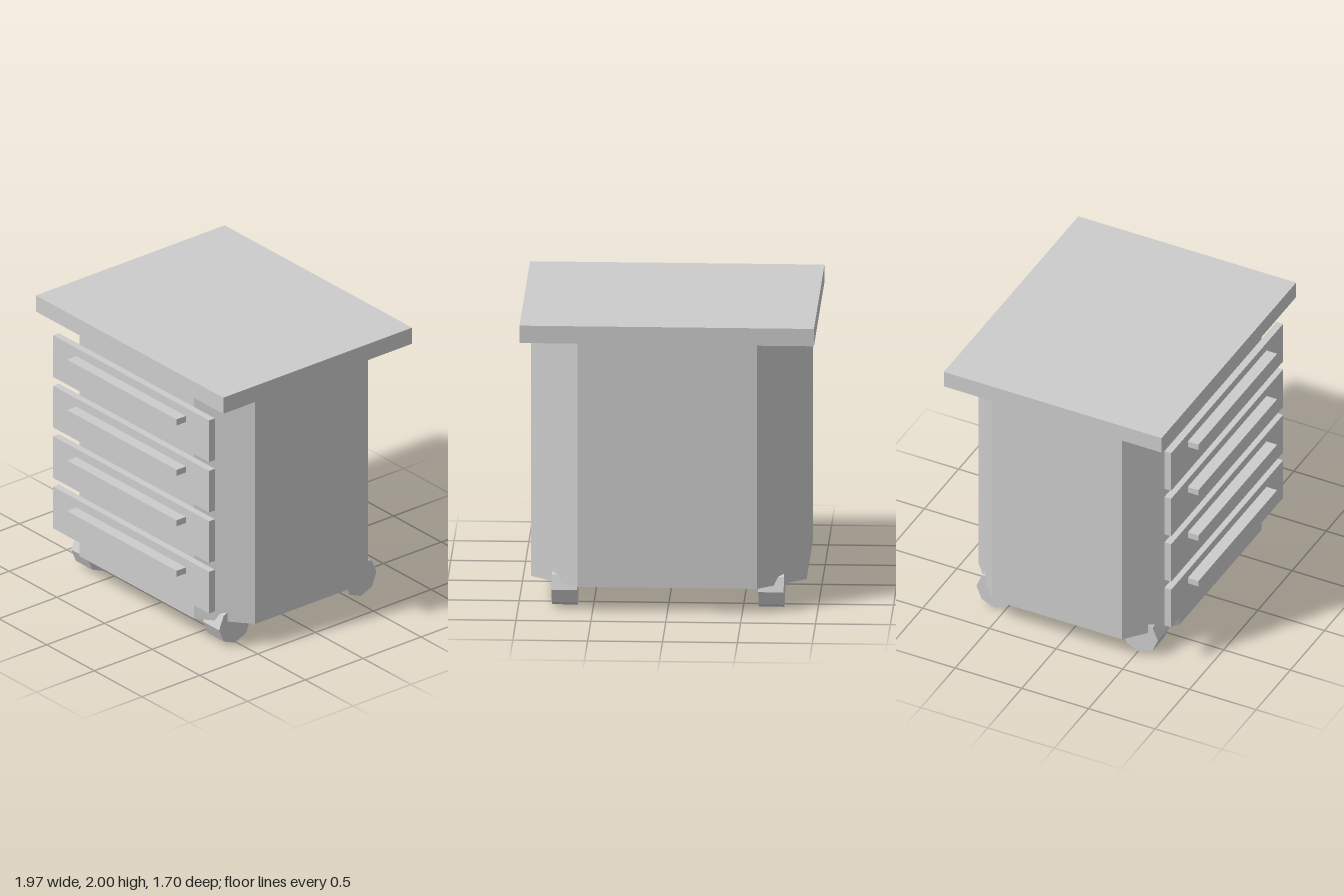
import * as THREE from 'three';

export function createModel() {
  const group = new THREE.Group();
  const grey = new THREE.MeshStandardMaterial({ color: 0xcccccc, flatShading: true });
  grey.name = 'light grey';

  const add = (name, geometry, x, y, z) => {
    const mesh = new THREE.Mesh(geometry, grey);
    mesh.name = name;
    mesh.position.set(x, y, z);
    group.add(mesh);
  };
  // Box given by its half width and its y and z ranges
  const addBox = (name, halfX, y0, y1, z0, z1) =>
    add(name, new THREE.BoxGeometry(halfX * 2, y1 - y0, z1 - z0), 0, (y0 + y1) / 2, (z0 + z1) / 2);

  // Cabinet with four chamfered corners; the outline's y is -z
  const outline = [
    [-0.6, -0.72], [0.6, -0.72], [0.92, -0.455], [0.92, 0.52],
    [0.6, 0.785], [-0.6, 0.785], [-0.92, 0.52], [-0.92, -0.455],
  ].map(([x, y]) => new THREE.Vector2(x, y));
  const body = new THREE.ExtrudeGeometry(new THREE.Shape(outline), { depth: 1.7, bevelEnabled: false });
  body.rotateX(-Math.PI / 2);
  add('cabinetBody', body, 0, 0.18, 0);

  // Overhanging top
  addBox('tableTop', 0.983, 1.88, 2, -0.85, 0.783);

  // Drawer fronts and their bar handles
  for (let i = 0; i < 4; i++) {
    const y = 0.32 + i * 0.377;
    addBox('drawerFront', 0.818, y, y + 0.311, 0.72, 0.77);
    addBox('drawerHandle', 0.575, y + 0.205, y + 0.25, 0.77, 0.85);
  }

  // Eight-sided wheels, partly sunk into the cabinet
  const wheel = new THREE.CylinderGeometry(0.136, 0.136, 0.17, 8);
  wheel.rotateZ(Math.PI / 2);
  for (const x of [-0.69, 0.69])
    for (const z of [0.512, -0.577]) add('wheel', wheel, x, 0.138, z);

  return group;
}
